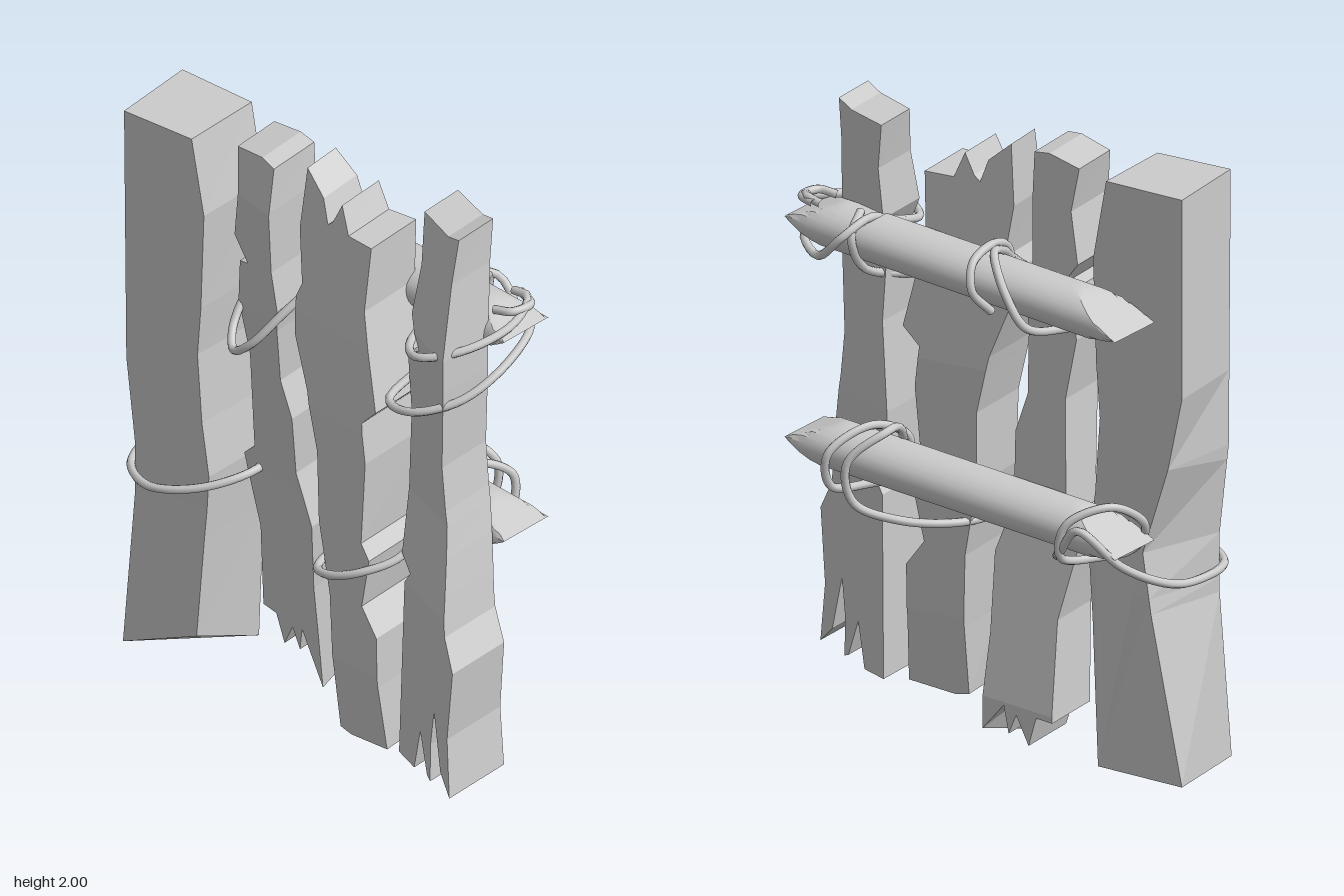
import * as THREE from 'three';
import { toCreasedNormals } from 'three/addons/utils/BufferGeometryUtils.js';

const grey = new THREE.MeshStandardMaterial({ color: 0xcccccc });
grey.name = 'paleGrey';

function add(group, name, geometry) {
  const mesh = new THREE.Mesh(geometry, grey);
  mesh.name = name;
  group.add(mesh);
}

// Piecewise linear lookup in [[y, value], ...] sorted by y
function lookup(table, y) {
  if (y <= table[0][0]) return table[0][1];
  for (let i = 1; i < table.length; i++) {
    const [y0, v0] = table[i - 1], [y1, v1] = table[i];
    if (y <= y1) return v0 + (v1 - v0) * (y - y0) / (y1 - y0);
  }
  return table[table.length - 1][1];
}

// Keep the part of a convex polygon on one side of height h
function clip(poly, h, sign) {
  const out = [];
  poly.forEach((a, i) => {
    const b = poly[(i + 1) % poly.length];
    const da = sign * (a.y - h), db = sign * (b.y - h);
    if (da >= 0) out.push(a);
    if (da * db < 0) out.push(a.clone().lerp(b, da / (da - db)));
  });
  return out;
}

// Cut every triangle at the given heights so the board can bend there cleanly
function sliceAt(geo, heights) {
  const p = geo.attributes.position, points = [];
  const levels = [-1, ...heights, 3];
  for (let i = 0; i < p.count; i += 3) {
    const tri = [0, 1, 2].map((k) => new THREE.Vector3().fromBufferAttribute(p, i + k));
    const low = Math.min(...tri.map((v) => v.y)), high = Math.max(...tri.map((v) => v.y));
    for (let j = 1; j < levels.length; j++) {
      if (high < levels[j - 1] || low > levels[j]) continue;
      const part = clip(clip(tri, levels[j - 1], 1), levels[j], -1);
      for (let k = 2; k < part.length; k++) points.push(part[0], part[k - 1], part[k]);
    }
  }
  return new THREE.BufferGeometry().setFromPoints(points);
}

// Rough board: an outline whose front and back depth change with height.
// skew tilts front and back across x, shift slides the back's left and right edges,
// foot moves the lowest points of the back to another height.
function board({ outline, front, back, mid, skew, shift, foot }) {
  const shape = new THREE.Shape(outline.map(([x, y]) => new THREE.Vector2(x, y)));
  const bends = new Set([front, back, mid, ...shift].flat().map(([y]) => y));
  const geo = sliceAt(new THREE.ExtrudeGeometry(shape, { depth: 1, bevelEnabled: false }),
    [...bends].sort((a, b) => a - b));
  const p = geo.attributes.position;
  for (let i = 0; i < p.count; i++) {
    const isFront = p.getZ(i) > 0.5;
    const x = p.getX(i), y = p.getY(i);
    const dx = x - lookup(mid, y);
    p.setZ(i, lookup(isFront ? front : back, y) + dx * skew[isFront ? 0 : 1]);
    if (isFront) continue;
    p.setX(i, x + lookup(shift[dx < 0 ? 0 : 1], y));
    if (foot && y < foot.below) p.setY(i, foot.to);
  }
  geo.computeVertexNormals();
  return geo;
}

const even = (amount) => [[[0, amount]], [[0, amount]]];

const boards = {
  cornerPost: {
    outline: [[-.70, 0], [-.42, .13], [-.40, .5], [-.385, .73], [-.41, .92], [-.425, 1.17], [-.41, 1.35],
      [-.395, 1.7], [-.44, 1.97], [-.70, 1.97], [-.70, 1.4], [-.70, 1.05], [-.67, .75], [-.67, .55]],
    front: [[0, .25], [.6, .23], [1.97, .245]],
    back: [[0, -.04], [1.97, -.04]],
    mid: [[0, -.57]], skew: [-.12, -.07], foot: { below: .2, to: 0 },
    shift: [[[0, -.03], [.75, .09], [1.3, -.03]], [[0, 0], [1, 0], [1.97, -.01]]],
  },
  splitBoard: {
    outline: [[-.31, 1.97], [-.19, 1.99], [-.13, 1.98], [-.125, 1.83], [-.13, 1.6], [-.11, 1.45], [-.12, 1.38],
      [-.13, 1.18], [-.09, 1.05], [-.1, .83], [-.045, .65], [-.065, .4], [-.065, .01], [-.15, .19], [-.17, .1],
      [-.2, .17], [-.25, .08], [-.28, .18], [-.345, .18], [-.32, .5], [-.355, .68], [-.37, .76], [-.31, .82],
      [-.28, 1.2], [-.31, 1.4], [-.29, 1.56], [-.25, 1.57], [-.31, 1.65], [-.28, 1.82]],
    front: [[0, .01], [.2, .03], [.75, .09], [1.4, .17], [1.82, .2], [1.99, .17]],
    back: [[0, -.2], [.2, -.2], [.75, -.09], [1.4, -.03], [1.99, -.015]],
    mid: [[0, -.21]], skew: [.15, .05], shift: even(-.015), foot: { below: .05, to: .09 },
  },
  jaggedBoard: {
    outline: [[-.05, 1.99], [.03, 1.92], [.06, 1.84], [.08, 1.86], [.11, 1.93], [.15, 1.84], [.25, 1.84],
      [.25, 1.62], [.29, 1.47], [.335, 1.3], [.28, 1.24], [.3, 1.1], [.285, .8], [.32, .75], [.29, .57],
      [.355, .48], [.36, .3], [.38, .07], [.22, .05], [.175, .06], [.165, .3], [.15, .55], [.1, .8], [.09, 1.05],
      [.04, 1.25], [-.03, 1.42], [-.04, 1.55], [-.02, 1.6], [-.055, 1.78]],
    front: [[0, .2], [.33, .23], [1.2, .22], [1.5, .19], [1.99, .12]],
    back: [[0, .05], [.33, 0], [1.2, -.04], [1.99, -.05]],
    mid: [[0, .28], [1.2, .17], [2, .1]], skew: [.02, -.17], shift: even(-.015),
  },
  forkedBoard: {
    outline: [[.37, 1.98], [.52, 1.98], [.58, 2], [.58, 1.85], [.6, 1.6], [.6, 1.48], [.59, 1.2], [.61, 1.05],
      [.64, .9], [.66, .78], [.68, .65], [.735, .55], [.715, .3], [.74, .1], [.68, .16], [.63, .35], [.615, .22],
      [.62, .09], [.6, .1], [.55, .23], [.52, .08], [.425, .08], [.425, .7], [.45, .74], [.39, .78], [.38, 1],
      [.4, 1.3], [.38, 1.5], [.45, 1.55], [.39, 1.65], [.4, 1.82]],
    front: [[.08, .25], [.7, .21], [1, .15], [1.6, .15], [2, .06]],
    back: [[.08, 0], [.7, -.02], [1, -.05], [1.6, -.06], [2, -.1]],
    mid: [[.08, .57], [1, .5], [2, .47]], skew: [.33, .3], shift: even(-.01),
  },
};

// Round rail whose ends are hewn to a horizontal edge
function rail(leftY, rightY) {
  const half = 0.66, ry = 0.074;
  const geo = new THREE.CylinderGeometry(1, 1, 2 * half, 24, 44);
  geo.rotateZ(-Math.PI / 2);
  const p = geo.attributes.position;
  for (let i = 0; i < p.count; i++) {
    const x = p.getX(i), t = (x + half) / (2 * half);
    const edge = x < 0 ? -0.02 : 0.02;
    const limit = Math.min(1, (half - Math.abs(x)) / (x < 0 ? 0.2 : 0.15));
    const top = edge + (ry - edge) * limit, bottom = edge - (ry + edge) * limit;
    const y = Math.min(top, Math.max(bottom, p.getY(i) * ry));
    p.setXYZ(i, x + 0.02, y + leftY + (rightY - leftY) * t, p.getZ(i) * 0.102 - 0.155 + 0.055 * t);
  }
  return toCreasedNormals(geo, 0.5);
}

// Bent rope through a few points
function rope(points, closed) {
  const curve = new THREE.CatmullRomCurve3(points.map((q) => new THREE.Vector3(...q)), closed, 'centripetal');
  return new THREE.TubeGeometry(curve, 90, 0.014, 8, closed);
}

const ropes = {
  postRope: [true, [[-.735, .67, .1], [-.69, .66, .24], [-.55, .67, .31], [-.4, .7, .25], [-.3, .74, .12],
    [-.31, .75, -.05], [-.36, .74, -.18], [-.44, .8, -.27], [-.53, .9, -.3], [-.64, .78, -.22], [-.72, .69, -.06]]],
  postRailRope: [true, [[-.48, .74, -.12], [-.44, .78, -.27], [-.47, .9, -.28], [-.57, .95, -.18],
    [-.61, .86, -.06], [-.55, .76, -.05]]],
  splitBoardRope: [true, [[-.31, 1.42, .1], [-.29, 1.33, .2], [-.24, 1.29, .25], [-.17, 1.34, .25], [-.1, 1.45, .18],
    [-.05, 1.56, .05], [-.08, 1.66, -.09], [-.13, 1.69, -.2], [-.22, 1.6, -.26], [-.28, 1.5, -.24], [-.31, 1.45, -.08]]],
  upperRailRope: [false, [[-.07, 1.5, -.03], [-.06, 1.64, -.03], [-.07, 1.69, -.12], [-.07, 1.66, -.23],
    [-.09, 1.58, -.26], [-.12, 1.5, -.2]]],
  jaggedBoardRope: [true, [[.1, .66, .12], [.12, .65, .25], [.2, .67, .28], [.3, .71, .25], [.38, .76, .14],
    [.35, .86, -.01], [.31, .97, -.1], [.29, .99, -.2], [.37, .9, -.29], [.36, .76, -.27], [.25, .7, -.18],
    [.14, .67, -.03]]],
  lowerRailRope: [true, [[.36, .78, -.03], [.34, .9, -.01], [.39, .97, -.14], [.46, .9, -.27], [.47, .78, -.24],
    [.42, .76, -.12]]],
  forkedBoardRope: [false, [[.56, 1.68, -.17], [.63, 1.69, -.16], [.66, 1.65, -.06], [.61, 1.61, .11], [.5, 1.58, .2],
    [.42, 1.57, .15], [.39, 1.62, -.02], [.39, 1.67, -.15], [.42, 1.63, -.25], [.52, 1.54, -.24], [.62, 1.56, -.18],
    [.665, 1.51, 0], [.62, 1.44, .14], [.5, 1.39, .23], [.38, 1.37, .2], [.38, 1.42, .05], [.4, 1.51, -.17],
    [.4, 1.63, -.23], [.43, 1.68, -.14]]],
  railEndRope: [false, [[.58, 1.67, -.06], [.64, 1.68, -.08], [.65, 1.68, -.15], [.58, 1.68, -.18]]],
};

export function createModel() {
  const fence = new THREE.Group();
  fence.name = 'brokenFence';

  for (const [name, spec] of Object.entries(boards)) add(fence, name, board(spec));
  add(fence, 'upperRail', rail(1.565, 1.6));
  add(fence, 'lowerRail', rail(0.835, 0.86));
  for (const [name, [closed, points]] of Object.entries(ropes)) add(fence, name, rope(points, closed));

  return fence;
}
